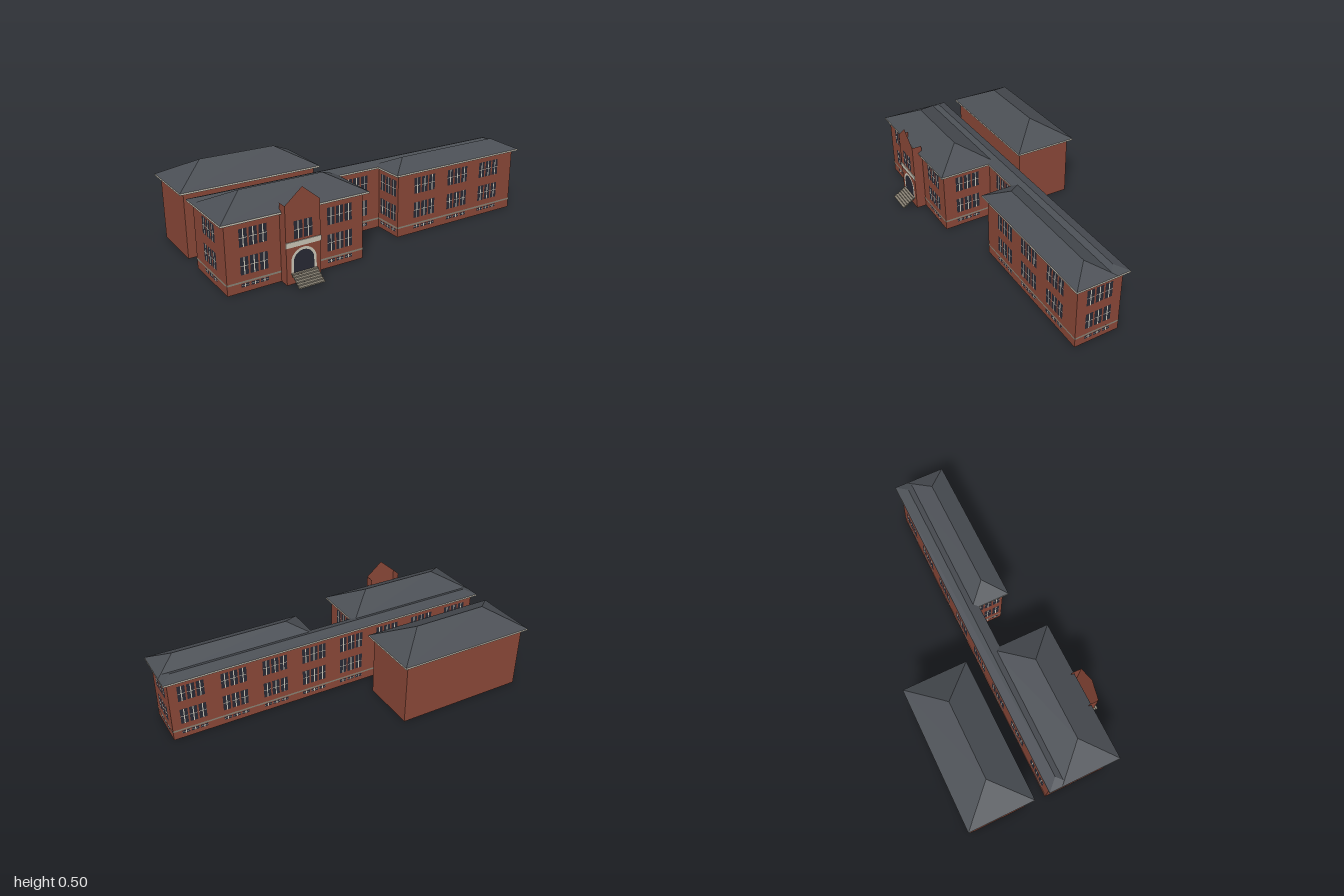
import * as THREE from 'three';

const mat = (name, color, side = THREE.FrontSide) => {
  const m = new THREE.MeshStandardMaterial({ color, side });
  m.name = name;
  return m;
};

export function createModel() {
  const model = new THREE.Group();
  model.name = 'schoolBuilding';

  const brick = mat('brick', 0x8d4939, THREE.DoubleSide);
  const slate = mat('slate', 0x4b4f55);
  const trim = mat('paleTrim', 0xcfcabb);
  const stone = mat('greyStone', 0x8c8577);
  const glass = mat('darkGlass', 0x292a35);

  const mesh = (name, geometry, material, parent = model) => {
    const m = new THREE.Mesh(geometry, material);
    m.name = name;
    parent.add(m);
    return m;
  };

  // box given by its limits on each axis
  const box = (name, [x0, x1], [y0, y1], [z0, z1], material, parent) => {
    const m = mesh(name, new THREE.BoxGeometry(x1 - x0, y1 - y0, z1 - z0), material, parent);
    m.position.set((x0 + x1) / 2, (y0 + y1) / 2, (z0 + z1) / 2);
    return m;
  };

  // four wall sheets, open below and above
  const walls = (name, x, y, z, parent) => {
    const g = box(name, x, y, z, brick, parent).geometry;
    const index = Array.from(g.index.array);
    g.setIndex([...index.slice(0, 12), ...index.slice(24)]);
    g.clearGroups();
  };

  // flat panel facing +z, given by its limits
  const panel = (name, [x0, x1], [y0, y1], z, material, parent) => {
    const m = mesh(name, new THREE.PlaneGeometry(x1 - x0, y1 - y0), material, parent);
    m.position.set((x0 + x1) / 2, (y0 + y1) / 2, z);
  };

  // hipped roof with its ridge along x
  const hipRoof = ([x0, x1], [z0, z1], top, inset) => {
    const e = 0.38, zm = (z0 + z1) / 2;
    const a = [x0, e, z1], b = [x1, e, z1], c = [x1, e, z0], d = [x0, e, z0];
    const l = [x0 + inset, top, zm], r = [x1 - inset, top, zm];
    const faces = [a, b, r, a, r, l, b, c, r, c, d, l, c, l, r, d, a, l];
    const g = new THREE.BufferGeometry();
    g.setAttribute('position', new THREE.Float32BufferAttribute(faces.flat(), 3));
    g.computeVertexNormals();
    return g;
  };

  // wings: walls, water table band, cornice and roof
  const wings = [
    { name: 'spine', x: [-0.975, 0.975], z: [-0.012, 0.063], rx: [-1, 1], rz: [-0.036, 0.085], top: 0.402, inset: 0.06, band: true },
    { name: 'entranceWing', x: [-0.975, -0.197], z: [0.063, 0.36], rx: [-1, -0.17], rz: [0.037, 0.382], top: 0.471, inset: 0.178, band: true },
    { name: 'longWing', x: [0.117, 0.975], z: [0.063, 0.247], rx: [0.092, 1], rz: [0.037, 0.27], top: 0.438, inset: 0.12, band: true },
    { name: 'rearWing', x: [-0.975, -0.197], z: [-0.477, -0.142], rx: [-1, -0.17], rz: [-0.5, -0.12], top: 0.483, inset: 0.192, band: false },
  ];
  for (const w of wings) {
    const g = new THREE.Group();
    g.name = w.name;
    model.add(g);
    walls(w.name + 'Walls', w.x, [0, 0.37], w.z, g);
    if (w.band) {
      const grow = ([p, q]) => [p - 0.002, q + 0.002];
      walls(w.name + 'Band', grow(w.x), [0.051, 0.061], grow(w.z), g);
      g.children.at(-1).material = stone;
    }
    box(w.name + 'Cornice', w.rx, [0.37, 0.38], w.rz, trim, g);
    mesh(w.name + 'Roof', hipRoof(w.rx, w.rz, w.top, w.inset), slate, g);
  }

  // row of windows in one floor, centred on local x = 0 and facing local +z
  const windowRow = (parent, [y0, y1], count, width, pitch) => {
    const ym = (y0 + y1) / 2, bar = Math.min(0.0015, (y1 - y0) / 20);
    for (let i = 0; i < count; i++) {
      const c = (i - (count - 1) / 2) * pitch;
      const x = [c - width / 2, c + width / 2];
      panel('windowGlass', x, [y0, y1], 0.0008, glass, parent);
      panel('windowTransom', x, [ym - bar, ym + bar], 0.0014, trim, parent);
      panel('windowMullion', [c - 0.0028, c + 0.0028], [y0, y1], 0.0018, trim, parent);
    }
  };
  const floors = [[0.24, 0.335], [0.093, 0.187], [0.028, 0.047]];
  const windowBay = (x, z, turn) => {
    const g = new THREE.Group();
    g.name = 'windowBay';
    g.position.set(x, 0, z);
    g.rotation.y = turn;
    model.add(g);
    for (const f of floors) windowRow(g, f, 3, 0.043, 0.0525);
  };

  // front bays
  for (const x of [-0.827, -0.339]) windowBay(x, 0.36, 0);
  windowBay(-0.04, 0.063, 0);
  for (const x of [0.304, 0.546, 0.789]) windowBay(x, 0.247, 0);
  // back bays
  for (let i = 0; i < 8; i++) windowBay((i - 3.5) * 0.243, -0.012, Math.PI);
  // end and courtyard bays
  windowBay(0.975, 0.1175, Math.PI / 2);
  windowBay(-0.197, 0.2115, Math.PI / 2);
  windowBay(-0.975, 0.174, -Math.PI / 2);
  windowBay(0.117, 0.155, -Math.PI / 2);

  // entrance bay: gabled front sheet and two side sheets, open above
  const entrance = new THREE.Group();
  entrance.name = 'entranceBay';
  entrance.position.set(-0.585, 0, 0.418);
  model.add(entrance);
  const half = 0.0975, shoulder = 0.423;
  const gable = new THREE.Shape([
    [-half, 0], [half, 0], [half, shoulder], [0, 0.505], [-half, shoulder],
  ].map(([x, y]) => new THREE.Vector2(x, y)));
  mesh('gabledFront', new THREE.ShapeGeometry(gable), brick, entrance);
  for (const s of [-1, 1]) {
    const side = mesh('entranceSide', new THREE.PlaneGeometry(0.058, shoulder), brick, entrance);
    side.position.set(s * half, shoulder / 2, -0.029);
    side.rotation.y = s * Math.PI / 2;
  }
  box('entranceBelt', [-0.1, 0.1], [0.2, 0.228], [-0.001, 0.004], trim, entrance);
  windowRow(entrance, floors[0], 2, 0.047, 0.056);

  // arched doorway with a pale surround
  const arch = (r, Type) => {
    const p = new Type();
    p.moveTo(-r, 0.058);
    p.lineTo(r, 0.058);
    p.lineTo(r, 0.117);
    p.absarc(0, 0.117, r, 0, Math.PI, false);
    p.lineTo(-r, 0.058);
    return p;
  };
  const surround = arch(0.072, THREE.Shape);
  surround.holes.push(arch(0.058, THREE.Path));
  const flat = (name, shape, material) => {
    mesh(name, new THREE.ShapeGeometry(shape, 16), material, entrance).position.z = 0.001;
  };
  flat('archSurround', surround, trim);
  flat('archedDoor', arch(0.058, THREE.Shape), glass);

  // floating entrance steps, each tread lapping under the one above
  const run = 0.082 / 6;
  for (let i = 0; i < 6; i++) {
    const top = 0.061 - i * 0.0088;
    const back = Math.max(0.001, i * run - 0.003);
    box('step', [-0.073, 0.073], [top - 0.007, top], [back, (i + 1) * run], stone, entrance);
  }

  return model;
}
